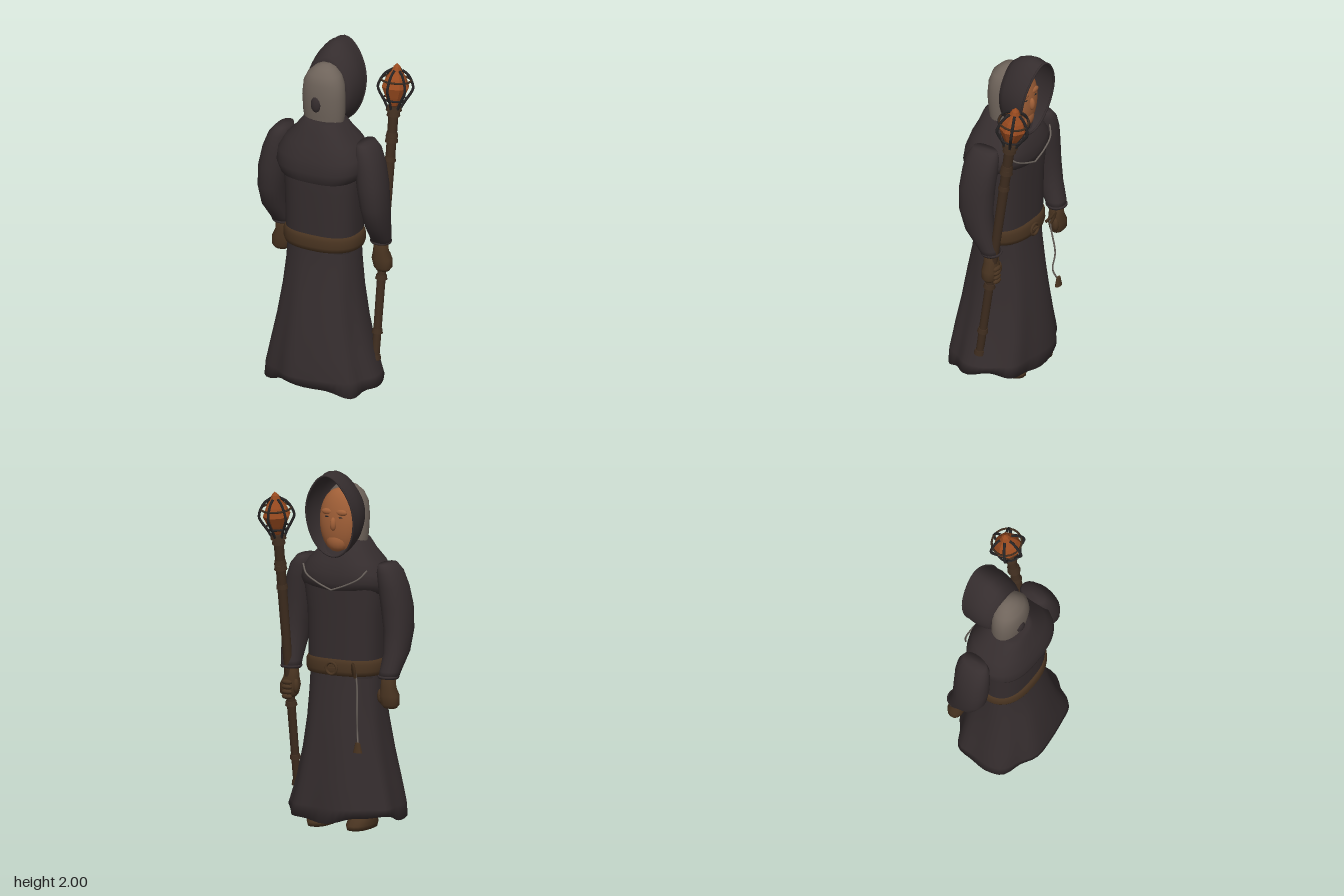
import * as THREE from 'three';

const mat = (name, color, extra = {}) => Object.assign(new THREE.MeshStandardMaterial({ color, ...extra }), { name });

export function createModel() {
  const model = new THREE.Group();
  model.name = 'robedFigure';
  const cloth = mat('robeCloth', 0x352d2e, { side: THREE.DoubleSide });
  const leather = mat('leather', 0x483320, { side: THREE.DoubleSide });
  const wood = mat('staffWood', 0x3f2d1f);
  const skin = mat('skin', 0xa05f37);
  const scalp = mat('scalpCap', 0x6f645b);
  const crystalMat = mat('amberCrystal', 0x984a1f, { flatShading: true });
  const iron = mat('iron', 0x262425);
  const cordMat = mat('greyCord', 0x6a625c);

  const add = (name, geo, material, pos = [0, 0, 0], scale = [1, 1, 1], parent = model) => {
    const m = new THREE.Mesh(geo, material);
    m.name = name;
    m.position.set(...pos);
    m.scale.set(...scale);
    parent.add(m);
    return m;
  };
  const tube = (pts, r, seg = 24, sides = 6) =>
    new THREE.TubeGeometry(new THREE.CatmullRomCurve3(pts.map(p => new THREE.Vector3(...p))), seg, r, sides);
  const sp = (v, e) => Math.sign(v) * Math.abs(v) ** e;

  // Horizontal ring [y, cx, cz, rx, rz] with an optional squareness exponent
  const flatRing = (e = 1) => (a, [y, cx, cz, rx, rz]) =>
    [cx + rx * sp(Math.cos(a), e), y, cz + rz * sp(Math.sin(a), e)];

  // Skin over a list of rings, optionally capped at the first and last ring
  function loft(rings, n, point, capStart = false, capEnd = false) {
    const pos = [], idx = [], last = (rings.length - 1) * n;
    rings.forEach((ring, j) => {
      for (let i = 0; i < n; i++) {
        pos.push(...point((i / n) * Math.PI * 2, ring, j));
        if (j === rings.length - 1) continue;
        const a = j * n + i, b = j * n + (i + 1) % n;
        idx.push(a, a + n, b, b, a + n, b + n);
      }
    });
    const cap = (start, flip) => {
      const c = [0, 0, 0], id = pos.length / 3;
      for (let i = 0; i < n; i++) for (let k = 0; k < 3; k++) c[k] += pos[(start + i) * 3 + k] / n;
      pos.push(...c);
      for (let i = 0; i < n; i++) {
        const a = start + i, b = start + (i + 1) % n;
        idx.push(id, flip ? b : a, flip ? a : b);
      }
    };
    if (capStart) cap(0, false);
    if (capEnd) cap(last, true);
    const g = new THREE.BufferGeometry();
    g.setAttribute('position', new THREE.Float32BufferAttribute(pos, 3));
    g.setIndex(idx);
    g.computeVertexNormals();
    return g;
  }

  // Skirt with folds growing towards an uneven hem, and a closed underside
  const skirtRings = [
    [0.085, 0.01, 0.06, 0.3, 0.22], [0.06, 0.012, 0.06, 0.335, 0.25], [0.12, 0.01, 0.06, 0.326, 0.25], [0.25, 0.003, 0.06, 0.29, 0.24],
    [0.42, 0, 0.054, 0.253, 0.219], [0.6, 0, 0.05, 0.225, 0.195], [0.75, 0, 0.045, 0.213, 0.168], [0.87, 0, 0.045, 0.208, 0.155]];
  add('skirt', loft(skirtRings, 56, (a, r, j) => {
    const t = (0.87 - r[0]) / 0.81;
    const f = 1 + t * (0.035 * Math.cos(7 * a + 0.4) + 0.012 * Math.sin(11 * a));
    const p = flatRing(0.88)(a, [r[0], r[1], r[2], r[3] * f, r[4] * f]);
    if (j < 2) p[1] += 0.022 * Math.sin(3 * a + 2.6) - 0.008 * Math.cos(8 * a);
    return p;
  }, true), cloth);

  // Tunic body
  add('torso', loft([
    [0.84, 0, 0.045, 0.205, 0.15], [0.95, 0, 0.045, 0.214, 0.157], [1.2, 0, 0.045, 0.22, 0.16],
    [1.36, 0, 0.04, 0.24, 0.165], [1.44, 0, 0.03, 0.23, 0.15], [1.5, 0, 0.025, 0.15, 0.11]],
  32, flatRing(0.75), false, true), cloth);

  // Shoulder mantle, long at the back and short at the chest
  add('mantle', loft([
    [1.275, 0, 0.055, 0.215, 0.168], [1.272, 0, 0.055, 0.238, 0.182], [1.33, 0, 0.055, 0.262, 0.192], [1.4, 0, 0.052, 0.255, 0.185],
    [1.48, 0, 0.048, 0.212, 0.165], [1.54, 0, 0.05, 0.155, 0.137], [1.595, 0, 0.055, 0.112, 0.115], [1.6, 0, 0.055, 0.09, 0.1]],
  40, (a, r) => {
    const p = flatRing(0.78)(a, r);
    const lift = Math.max(0, -Math.sin(a)) * Math.max(0, 1 - (r[0] - 1.27) / 0.22);
    p[1] += 0.1 * lift * (0.55 + 0.45 * Math.abs(Math.cos(a))) + 0.015 * Math.cos(a) ** 4 * Math.max(0, 1 - (r[0] - 1.27) / 0.2);
    return p;
  }, false, true), cloth);

  // Cord trim on the chest
  for (const s of [-1, 1])
    add('chestCord', tube([[s * 0.2, 1.455, -0.095], [s * 0.165, 1.41, -0.125], [s * 0.09, 1.37, -0.139], [0, 1.335, -0.141]], 0.005), cordMat);

  // Belt, buckle and hanging cord
  add('belt', loft([
    [0.85, 0, 0.045, 0.2, 0.15], [0.855, 0, 0.045, 0.222, 0.17], [0.88, 0, 0.045, 0.23, 0.176],
    [0.92, 0, 0.045, 0.229, 0.174], [0.942, 0, 0.045, 0.219, 0.166], [0.945, 0, 0.045, 0.2, 0.15]],
  36, flatRing(0.85)), leather);
  add('buckle', new THREE.TorusGeometry(0.033, 0.008, 8, 20), leather, [0, 0.897, -0.138]);
  add('buckleTongue', new THREE.BoxGeometry(0.06, 0.01, 0.012), leather, [0, 0.897, -0.138]);
  add('beltKnot', tube([[-0.13, 0.87, -0.12], [-0.14, 0.91, -0.15], [-0.15, 0.94, -0.165], [-0.155, 0.9, -0.155], [-0.15, 0.86, -0.14]], 0.009), leather);
  add('hangingCord', tube([[-0.15, 0.88, -0.13], [-0.16, 0.8, -0.135], [-0.17, 0.66, -0.153], [-0.165, 0.55, -0.14], [-0.18, 0.49, -0.16]], 0.005, 30), cordMat);
  add('tassel', new THREE.CylinderGeometry(0.013, 0.025, 0.055, 8), leather, [-0.182, 0.475, -0.167], [1.15, 1, 0.6]);

  // Sleeves, cuffs, hands and boots
  for (const s of [-1, 1]) {
    const x = v => s * v - 0.01;
    add(s > 0 ? 'leftSleeve' : 'rightSleeve', loft([
      [0.86, x(0.305), -0.06, 0.056, 0.048], [0.9, x(0.31), -0.045, 0.058, 0.06], [1.0, x(0.32), 0.008, 0.066, 0.085],
      [1.12, x(0.318), 0.035, 0.075, 0.1], [1.25, x(0.305), 0.038, 0.082, 0.104], [1.36, x(0.288), 0.03, 0.076, 0.104],
      [1.44, x(0.27), 0.024, 0.063, 0.097], [1.485, x(0.255), 0.02, 0.04, 0.075]],
    20, flatRing(0.9), true, true), cloth);
    const cuff = add('cuff', new THREE.TorusGeometry(0.054, 0.007, 6, 20), cloth, [x(0.305), 0.87, -0.058]);
    cuff.rotation.x = Math.PI / 2;
    add('hand', loft([
      [0.695, x(0.316), -0.058, 0.036, 0.028], [0.715, x(0.316), -0.06, 0.052, 0.042], [0.765, x(0.31), -0.06, 0.058, 0.046],
      [0.81, x(0.304), -0.058, 0.042, 0.04], [0.87, x(0.304), -0.058, 0.038, 0.038]],
    14, flatRing(0.85), true, true), leather);
    add('thumb', new THREE.SphereGeometry(0.02, 10, 8), leather, [x(0.265), 0.76, -0.078], [0.9, 2, 1]);
    add('boot', loft([
      [0, x(0.123), -0.03, 0.062, 0.12], [0.025, x(0.123), -0.03, 0.068, 0.125],
      [0.06, x(0.123), -0.015, 0.064, 0.105], [0.1, x(0.123), 0.02, 0.055, 0.07]],
    18, flatRing(0.85), true, true), leather);
  }
  for (let i = 0; i < 4; i++)
    add('grippingFinger', new THREE.SphereGeometry(0.015, 10, 8), leather, [0.3, 0.7 + i * 0.027, -0.1], [2.2, 0.95, 1]);

  // Head: bald back, face and features
  add('headBack', loft([
    [1.55, 0, 0.05, 0.11, 0.07], [1.63, 0, 0.05, 0.122, 0.08], [1.73, 0, 0.055, 0.125, 0.085], [1.81, 0, 0.052, 0.118, 0.082],
    [1.86, 0, 0.045, 0.095, 0.075], [1.895, 0, 0.035, 0.058, 0.05], [1.91, 0, 0.03, 0.025, 0.022]],
  28, flatRing(0.92), false, true), scalp);
  add('hairKnot', new THREE.IcosahedronGeometry(0.03, 1), cloth, [-0.008, 1.7, 0.135], [1, 1.6, 0.6]);
  add('face', new THREE.SphereGeometry(1, 28, 20), skin, [0, 1.705, -0.045], [0.118, 0.185, 0.073]);
  add('nose', new THREE.SphereGeometry(1, 12, 10), skin, [0, 1.7, -0.117], [0.018, 0.038, 0.02]);
  add('jaw', new THREE.SphereGeometry(1, 16, 12), skin, [0, 1.6, -0.065], [0.068, 0.065, 0.05]);
  for (const s of [-1, 1]) {
    add('brow', new THREE.SphereGeometry(1, 12, 8), skin, [s * 0.042, 1.765, -0.103], [0.038, 0.018, 0.014]);
    add('eye', new THREE.SphereGeometry(1, 10, 6), iron, [s * 0.042, 1.738, -0.111], [0.014, 0.004, 0.004]);
  }

  // Hood rings run from back to rim: [z, half width, bottom, top]; the rim leans forward at the top
  const hoodPoint = (a, [z, rx, y0, y1]) => {
    const h = (Math.sin(a) + 1) / 2, taper = h > 0.5 ? 1 - 0.22 * (2 * h - 1) ** 2 : 1;
    return [rx * Math.cos(a) * taper, y0 + (y1 - y0) * h, z < 0 ? z * (0.62 + 0.38 * h) : z];
  };
  add('hood', loft([
    [0.02, 0.1, 1.6, 1.9], [0.01, 0.13, 1.57, 1.935], [-0.03, 0.144, 1.545, 1.97], [-0.08, 0.151, 1.53, 1.993],
    [-0.13, 0.154, 1.52, 2.0], [-0.195, 0.148, 1.515, 1.985]], 36, hoodPoint, true), cloth);
  const rim = [];
  for (let i = 0; i < 24; i++) rim.push(new THREE.Vector3(...hoodPoint(i / 24 * Math.PI * 2, [-0.193, 0.147, 1.518, 1.983])));
  add('hoodRim', new THREE.TubeGeometry(new THREE.CatmullRomCurve3(rim, true), 60, 0.006, 6, true), cloth);

  // Staff, leaning forward, built along its own axis
  const staff = new THREE.Group();
  staff.name = 'staff';
  staff.position.set(0.3, 0.18, 0.02);
  staff.quaternion.setFromUnitVectors(new THREE.Vector3(0, 1, 0), new THREE.Vector3(0.002, 0.989, -0.146).normalize());
  model.add(staff);
  const onStaff = (name, geo, material, y = 0) => add(name, geo, material, [0, y, 0], [1, 1, 1], staff);
  onStaff('shaft', new THREE.CylinderGeometry(0.028, 0.022, 1.46, 12), wood, 0.73);
  for (const [y, r] of [[0.02, 0.032], [0.17, 0.031], [0.48, 0.034], [0.58, 0.036], [1.16, 0.033], [1.27, 0.037], [1.3, 0.035], [1.42, 0.038], [1.45, 0.045]])
    onStaff('staffCollar', new THREE.CylinderGeometry(r * 0.85, r, 0.026, 12), wood, y);
  const profile = [[0, 1.455], [0.03, 1.47], [0.055, 1.52], [0.079, 1.575], [0.058, 1.625], [0.03, 1.665], [0.02, 1.69], [0, 1.71]];
  onStaff('crystal', new THREE.LatheGeometry(profile.map(p => new THREE.Vector2(...p)), 8), crystalMat);
  for (let i = 0; i < 6; i++) {
    const rib = onStaff('cageRib', tube([[0.03, 1.44, 0], [0.055, 1.49, 0], [0.085, 1.54, 0], [0.097, 1.57, 0], [0.086, 1.61, 0], [0.06, 1.65, 0], [0.03, 1.67, 0]], 0.008, 20), iron);
    rib.rotation.y = Math.PI / 6 + i * Math.PI / 3;
  }
  for (const [y, r, m] of [[1.505, 0.064, iron], [1.615, 0.083, wood]])
    onStaff('cageRing', new THREE.TorusGeometry(r, 0.006, 6, 28).rotateX(Math.PI / 2), m, y);

  return model;
}
